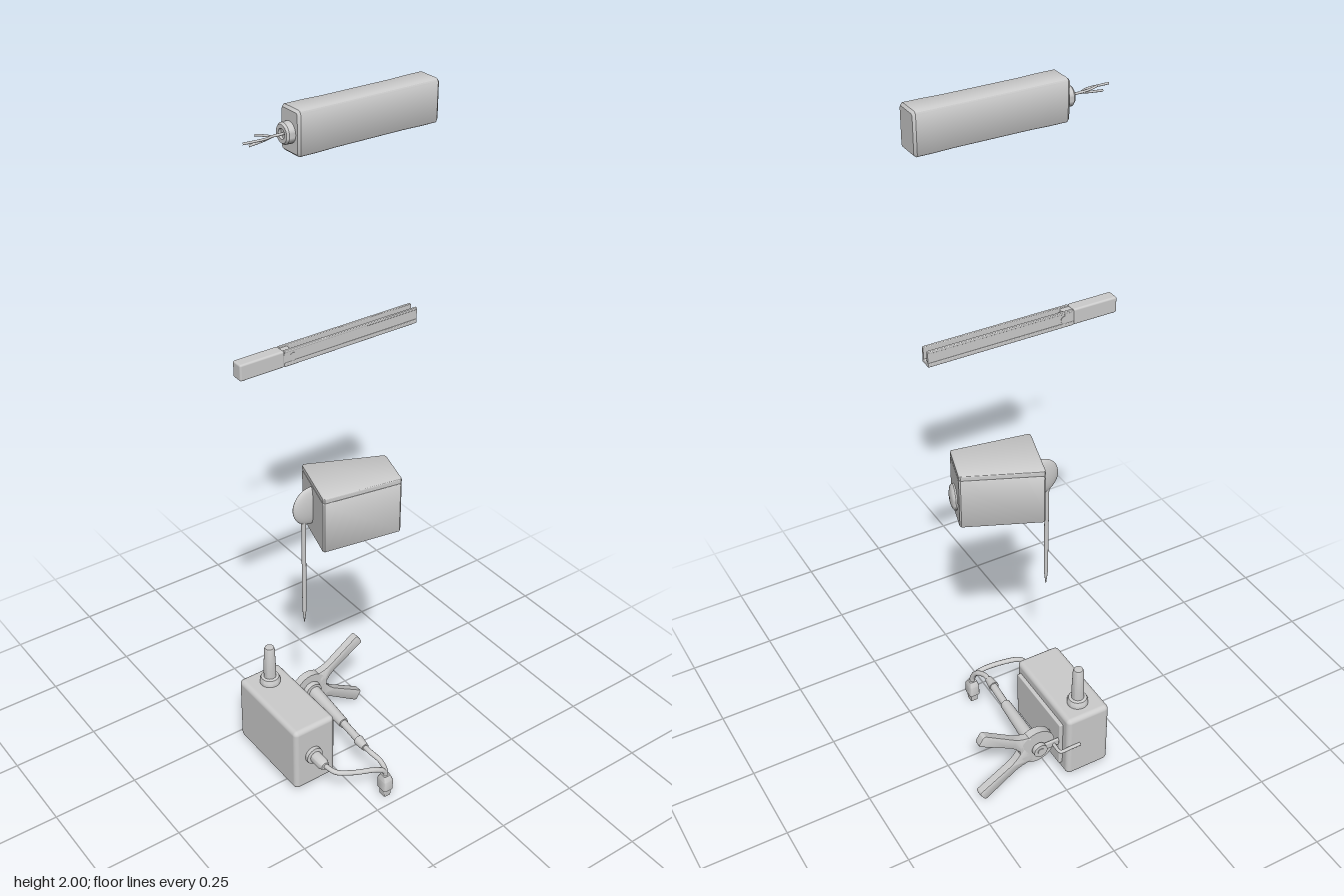
import * as THREE from 'three';
import { toCreasedNormals } from 'three/addons/utils/BufferGeometryUtils.js';
import { RoundedBoxGeometry } from 'three/addons/geometries/RoundedBoxGeometry.js';

const grey = new THREE.MeshStandardMaterial({ color: 0xcccccc });
grey.name = 'light grey plastic';

function add(parent, name, geo, x = 0, y = 0, z = 0) {
  const m = new THREE.Mesh(geo, grey);
  m.name = name;
  m.position.set(x, y, z);
  parent.add(m);
  return m;
}

function group(parent, name) {
  const g = new THREE.Group();
  g.name = name;
  parent.add(g);
  return g;
}

const box = (w, h, d, r = 0.005) => new RoundedBoxGeometry(w, h, d, 3, r);

// Rounded rectangles [z, width, height, radius] joined along z, from back to front
function loft(sections) {
  const pos = [], idx = [], steps = 5, n = 4 * steps;
  for (const [z, w, h, r] of sections) {
    for (let c = 0; c < 4; c++) {
      const sx = c === 0 || c === 3 ? 1 : -1, sy = c < 2 ? 1 : -1;
      for (let i = 0; i < steps; i++) {
        const a = (c + i / (steps - 1)) * Math.PI / 2;
        pos.push(sx * (w / 2 - r) + r * Math.cos(a), sy * (h / 2 - r) + r * Math.sin(a), z);
      }
    }
  }
  const last = sections.length - 1;
  for (let s = 0; s < last; s++) {
    for (let i = 0; i < n; i++) {
      const a = s * n + i, b = s * n + (i + 1) % n;
      idx.push(a, b, b + n, a, b + n, a + n);
    }
  }
  for (let i = 1; i < n - 1; i++) {
    idx.push(0, i + 1, i, last * n, last * n + i, last * n + i + 1);
  }
  const g = new THREE.BufferGeometry();
  g.setAttribute('position', new THREE.Float32BufferAttribute(pos, 3));
  g.setIndex(idx);
  return toCreasedNormals(g, 0.6);
}

// Turned profile of [radius, height] pairs, standing on its axis
function turned(profile) {
  const pts = profile.map(([r, h]) => new THREE.Vector2(r, h));
  return toCreasedNormals(new THREE.LatheGeometry(pts, 28), 0.6);
}

// Round bar between two points
function rod(parent, name, a, b, r1, r2 = r1) {
  const p = new THREE.Vector3(...a), d = new THREE.Vector3(...b).sub(p);
  const m = add(parent, name, new THREE.CylinderGeometry(r2, r1, d.length(), 24));
  m.position.copy(p).addScaledVector(d, 0.5);
  m.quaternion.setFromUnitVectors(new THREE.Vector3(0, 1, 0), d.normalize());
  return m;
}

function tube(parent, name, points, r) {
  const curve = new THREE.CatmullRomCurve3(points.map(p => new THREE.Vector3(...p)));
  return add(parent, name, new THREE.TubeGeometry(curve, 48, r, 10));
}

function buildBlock(root) {
  const g = group(root, 'upperBlock');
  // Long block with a barely recessed grip
  add(g, 'blockBody', loft([
    [-0.268, 0.06, 0.094, 0.006], [-0.262, 0.07, 0.105, 0.009], [-0.22, 0.07, 0.105, 0.009],
    [-0.17, 0.067, 0.103, 0.008], [0.02, 0.067, 0.103, 0.008], [0.07, 0.07, 0.105, 0.009],
    [0.116, 0.07, 0.105, 0.009], [0.122, 0.06, 0.094, 0.006],
  ]), 0.035, 1.9475, 0);
  // Cable outlet and loose wires
  const outlet = turned([[0, 0], [0.025, 0], [0.025, 0.018], [0.021, 0.023], [0.012, 0.023], [0.012, 0.016], [0, 0.016]]);
  add(g, 'cableOutlet', outlet, 0.034, 1.945, 0.12).rotation.x = Math.PI / 2;
  const tips = [[0.029, 1.955, 0.21], [0.037, 1.937, 0.23], [0.044, 1.948, 0.25]];
  for (const [x, y, z] of tips) {
    tube(g, 'wire', [[0.035, 1.945, 0.13], [0.035, 1.945, 0.165], [x, (y + 1.945) / 2, 0.19], [x, y, z]], 0.0028);
  }
}

function buildBar(root) {
  const g = group(root, 'channelBar');
  // Solid head, then a channel open at the top
  add(g, 'barHead', box(0.034, 0.044, 0.125), 0.011, 1.387, 0.2025);
  add(g, 'barNeck', box(0.031, 0.038, 0.03, 0.003), 0.011, 1.386, 0.13);
  add(g, 'barFloor', box(0.033, 0.011, 0.4, 0.002), 0.011, 1.3705, -0.06);
  for (const side of [-1, 1]) {
    add(g, 'barWall', new THREE.BoxGeometry(0.006, 0.034, 0.4), 0.011 + side * 0.0115, 1.388, -0.06);
    add(g, 'barRim', box(0.008, 0.006, 0.4, 0.002), 0.011 + side * 0.0125, 1.405, -0.06);
  }
  rod(g, 'barPin', [-0.005, 1.386, 0.115], [0.027, 1.386, 0.115], 0.011);
}

function buildTaperedBox(root) {
  const g = group(root, 'taperedCase');
  g.position.set(0.045, 0, -0.054);
  g.rotation.y = -0.29;
  // Body and lid, both narrowing toward the back
  const wedge = (h, r) => loft([
    [-0.111, 0.115, h - 0.004, r], [-0.107, 0.123, h, r],
    [0.107, 0.177, h, r], [0.111, 0.169, h - 0.004, r],
  ]);
  add(g, 'caseBody', wedge(0.152, 0.006), 0, 0.91, 0);
  add(g, 'caseLid', wedge(0.016, 0.004), 0, 0.992, 0);
  // Round cap on the back face
  const cap = turned([[0, 0], [0.036, 0], [0.036, 0.006], [0.031, 0.012], [0.018, 0.016], [0, 0.017]]);
  add(g, 'backCap', cap, 0, 0.893, -0.109).rotation.x = -Math.PI / 2;
  // Thin wheel in the front and the probe hanging from it
  const p = group(root, 'probe');
  add(p, 'probeWheel', new THREE.SphereGeometry(1, 32, 24), 0.005, 0.923, 0.053).scale.set(0.014, 0.056, 0.055);
  rod(p, 'probeRod', [0.005, 0.592, 0.075], [0.005, 0.93, 0.075], 0.0055, 0.0065);
  rod(p, 'probeTip', [0.005, 0.552, 0.075], [0.005, 0.592, 0.075], 0.001, 0.0055);
}

function buildController(root) {
  const g = group(root, 'controller');
  // Main housing and back plate
  add(g, 'housing', box(0.29, 0.211, 0.135, 0.014), -0.074, 0.125, 0.0875);
  add(g, 'backPlate', box(0.24, 0.15, 0.016, 0.003), -0.07, 0.123, 0.017);
  add(g, 'bottomStud', new THREE.CylinderGeometry(0.015, 0.013, 0.01, 24), -0.16, 0.017, 0.085);
  // Antenna with a collar
  add(g, 'antenna', turned([
    [0.03, 0], [0.03, 0.012], [0.026, 0.02], [0.018, 0.022], [0.018, 0.05],
    [0.0155, 0.118], [0.013, 0.126], [0, 0.128],
  ]), -0.16, 0.23, 0.085);
  // Square-cornered wire hook at the rear corner
  tube(g, 'hook', [
    [-0.222, 0.132, 0.058], [-0.222, 0.132, 0.025], [-0.222, 0.132, -0.003], [-0.218, 0.132, -0.007],
    [-0.18, 0.132, -0.007], [-0.14, 0.132, -0.007], [-0.136, 0.132, -0.003], [-0.135, 0.132, 0.02],
  ], 0.005);
  // Socket for the cable
  const socket = turned([[0, 0], [0.026, 0], [0.026, 0.012], [0.017, 0.014], [0.017, 0.05], [0.012, 0.062], [0, 0.063]]);
  add(g, 'cableSocket', socket, 0.07, 0.129, 0.096).rotation.z = -Math.PI / 2;
}

function buildCableAndSensor(root) {
  const g = group(root, 'cableAndSensor');
  // Long sensor barrel and its strain relief
  rod(g, 'sensorBarrel', [-0.14, 0.133, -0.056], [0.02, 0.131, -0.048], 0.02, 0.015);
  rod(g, 'sensorShaft', [0.02, 0.131, -0.048], [0.11, 0.13, -0.042], 0.011);
  rod(g, 'strainRelief', [0.1, 0.13, -0.042], [0.135, 0.129, -0.04], 0.015, 0.011);
  // Two cables meeting in the hanging plug
  tube(g, 'controllerCable', [
    [0.125, 0.129, 0.096], [0.165, 0.126, 0.084], [0.188, 0.118, 0.04],
    [0.205, 0.103, -0.03], [0.208, 0.085, -0.055], [0.208, 0.06, -0.058],
  ], 0.0075);
  tube(g, 'sensorCable', [
    [0.13, 0.129, -0.04], [0.16, 0.127, -0.042], [0.19, 0.114, -0.052], [0.206, 0.088, -0.058], [0.208, 0.06, -0.058],
  ], 0.0075);
  const plug = loft([
    [0, 0.026, 0.022, 0.004], [0.02, 0.028, 0.024, 0.004], [0.024, 0.037, 0.031, 0.005],
    [0.058, 0.037, 0.031, 0.005], [0.073, 0.022, 0.022, 0.005],
  ]);
  add(g, 'plug', plug, 0.208, 0, -0.058).rotation.x = -Math.PI / 2;
}

function buildClamp(root) {
  const g = group(root, 'clamp');
  g.position.set(-0.162, 0.134, -0.053);
  // Round jaw body
  rod(g, 'clampBody', [-0.012, 0, 0], [0.012, 0, 0], 0.055);
  // Two spread handles with squared ends
  const s = new THREE.Shape();
  s.moveTo(0.02, -0.036);
  s.quadraticCurveTo(0.06, -0.014, 0.09, -0.012);
  s.lineTo(0.2, -0.015);
  s.quadraticCurveTo(0.206, -0.015, 0.206, -0.009);
  s.lineTo(0.206, 0.009);
  s.quadraticCurveTo(0.206, 0.015, 0.2, 0.015);
  s.lineTo(0.09, 0.012);
  s.quadraticCurveTo(0.06, 0.014, 0.02, 0.036);
  const arm = new THREE.ExtrudeGeometry(s, {
    depth: 0.016, bevelThickness: 0.004, bevelSize: 0.003, bevelSegments: 2, curveSegments: 8,
  }).translate(0, 0, -0.008);
  for (const side of [1, -1]) {
    const m = add(g, side > 0 ? 'upperHandle' : 'lowerHandle', toCreasedNormals(arm.clone().rotateZ(side * 0.56), 0.6));
    m.rotation.y = Math.PI / 2;
  }
  // Pivot collar, knob and the link to the back plate
  rod(g, 'pivotCollar', [0.01, 0, 0], [0.026, 0, 0], 0.03, 0.028);
  rod(g, 'pivotPin', [-0.034, 0, 0], [0, 0, 0], 0.01);
  rod(g, 'pivotKnob', [-0.032, 0, 0], [-0.018, 0, 0], 0.021);
  add(g, 'linkBar', box(0.008, 0.022, 0.085, 0.003), -0.021, 0, 0.03);
}

export function createModel() {
  const root = new THREE.Group();
  root.name = 'sensorKit';
  buildBlock(root);
  buildBar(root);
  buildTaperedBox(root);
  buildController(root);
  buildCableAndSensor(root);
  buildClamp(root);
  return root;
}
